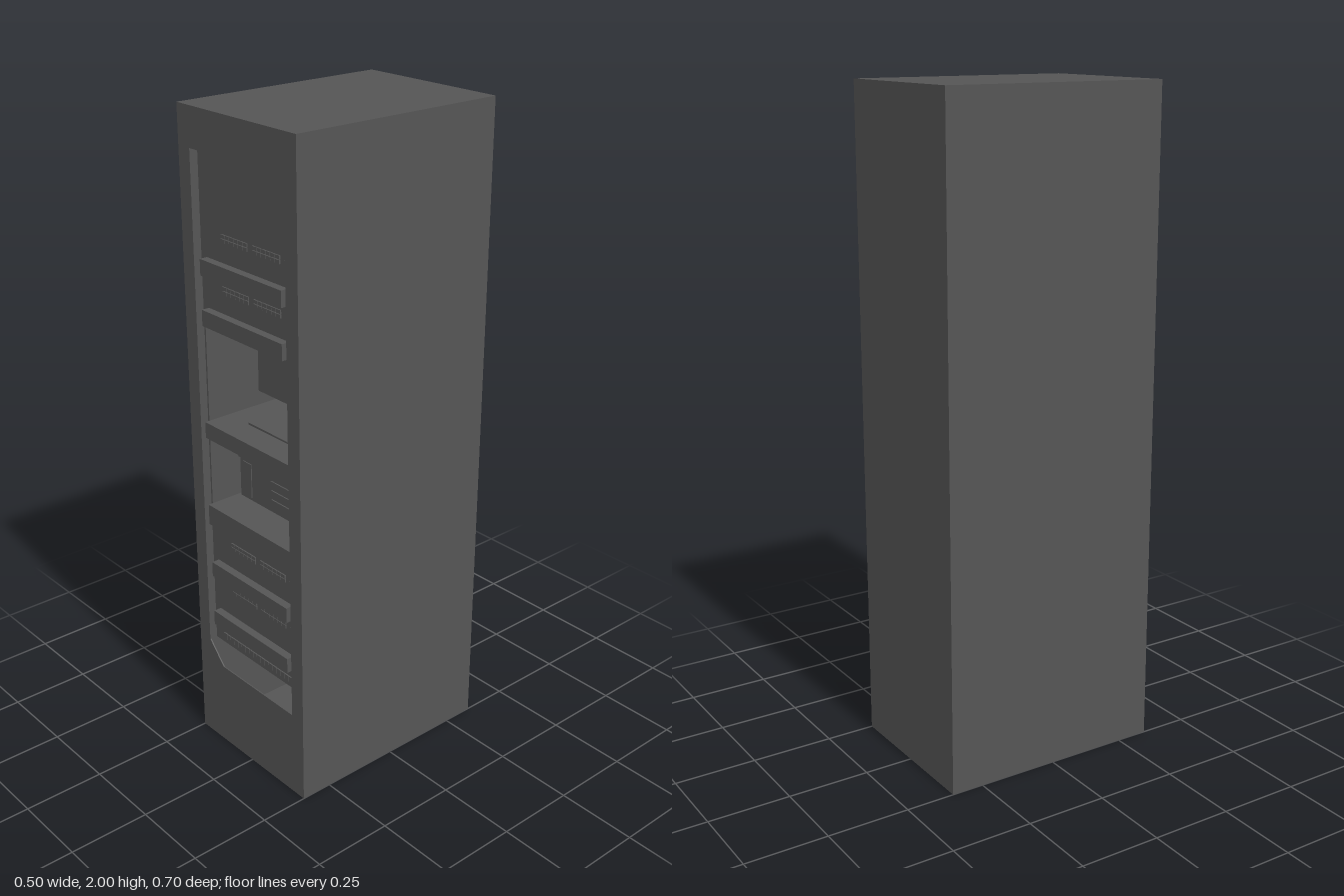
import * as THREE from 'three';

const material = new THREE.MeshStandardMaterial({ color: 0x555555 });

// Box given by its limits on each axis
function box(parent, name, x0, x1, y0, y1, z0, z1) {
  const mesh = new THREE.Mesh(new THREE.BoxGeometry(x1 - x0, y1 - y0, z1 - z0), material);
  mesh.position.set((x0 + x1) / 2, (y0 + y1) / 2, (z0 + z1) / 2);
  mesh.name = name;
  parent.add(mesh);
  return mesh;
}

function group(parent, name) {
  const g = new THREE.Group();
  g.name = name;
  parent.add(g);
  return g;
}

const W = 0.25, D = 0.35, H = 2, T = 0.004; // half width, half depth, height, sheet
const FACE = 0.32, BACK = -0.25;            // front and back of the rack units

function buildCabinet(root) {
  const cabinet = group(root, 'cabinet');
  box(cabinet, 'floorPanel', -W, W, 0, T, -D, D - T);
  box(cabinet, 'roofPanel', -W, W, H - T, H, -D, D - T);
  box(cabinet, 'backPanel', -W, W, T, H - T, -D, -D + T);
  for (const s of [-1, 1]) {
    const side = box(cabinet, s > 0 ? 'leftPanel' : 'rightPanel', W - T, W, T, H - T, -D + T, D - T);
    side.position.x *= s;
  }
  // Front sheet with an opening clipped at two corners
  const sheet = new THREE.Shape([[-W, 0], [W, 0], [W, H], [-W, H]].map(p => new THREE.Vector2(...p)));
  sheet.holes.push(new THREE.Path([
    [-0.2, 0.345], [-0.2, 1.885], [0.13, 1.885], [0.2, 1.82], [0.2, 0.275], [-0.135, 0.275],
  ].map(p => new THREE.Vector2(...p))));
  const front = new THREE.Mesh(
    new THREE.ExtrudeGeometry(sheet, { depth: T, bevelEnabled: false }), material);
  front.position.z = D - T;
  front.name = 'frontPanel';
  cabinet.add(front);
}

// Rows of small sockets standing on a unit face
function sockets(parent, x0, x1, y0, y1, cols, rows) {
  const w = (x1 - x0) / cols, h = (y1 - y0) / rows, gap = 0.001;
  for (let i = 0; i < cols; i++) for (let j = 0; j < rows; j++) {
    box(parent, 'socket', x0 + i * w + gap, x0 + (i + 1) * w - gap,
      y0 + j * h + gap, y0 + (j + 1) * h - gap, FACE, FACE + 0.004);
  }
}

// Network unit: face, two socket blocks, one small socket and a cable tray
function networkUnit(root, top, bottom, tray) {
  const unit = group(root, 'networkUnit');
  box(unit, 'unitBody', -0.2, 0.2, bottom, top, BACK, FACE);
  sockets(unit, -0.11, 0.007, top - 0.038, top - 0.013, 6, 2);
  sockets(unit, 0.028, 0.145, top - 0.038, top - 0.013, 6, 2);
  sockets(unit, 0.163, 0.195, top - 0.036, top - 0.022, 2, 1);
  if (tray) box(unit, 'cableTray', -0.18, 0.175, bottom + 0.005, bottom + 0.053, FACE, 0.345);
}

function buildMonitor(root) {
  const monitor = group(root, 'monitor');
  box(monitor, 'screen', -0.15, 0.155, 1.151, 1.358, 0.15, 0.175);
  box(monitor, 'stand', -0.012, 0.018, 1.085, 1.2, 0.125, 0.15);
  box(monitor, 'standBase', -0.105, 0.115, 1.08, 1.086, 0.06, 0.25);
}

function buildComputer(root) {
  const computer = group(root, 'computer');
  box(computer, 'computerCase', -0.19, 0.19, 0.81, 0.935, -0.15, 0.22);
  box(computer, 'computerLid', -0.2, 0.2, 0.935, 0.95, -0.15, 0.22);
  box(computer, 'computerTrim', -0.175, -0.135, 0.82, 0.93, 0.22, 0.223);
  for (let i = 0; i < 3; i++) {
    const y = 0.84 + i * 0.03;
    box(computer, 'driveBay', -0.04, 0.17, y, y + 0.012, 0.22, 0.224);
  }
}

export function createModel() {
  const root = new THREE.Group();
  root.name = 'serverCabinet';
  buildCabinet(root);

  // Side sheets of the inner rack
  for (const s of [-1, 1]) {
    const rail = box(root, 'rackSide', 0.2, 0.206, 0.34, 1.89, BACK, FACE);
    rail.position.x *= s;
  }
  // Blank units, from top to bottom
  for (const [top, bottom] of [[1.89, 1.83], [1.83, 1.677], [0.745, 0.727], [0.515, 0.46]]) {
    box(root, 'blankUnit', -0.2, 0.2, bottom, top, BACK, FACE);
  }
  networkUnit(root, 1.677, 1.528, true);
  networkUnit(root, 1.528, 1.38, true);
  networkUnit(root, 0.727, 0.573, true);
  networkUnit(root, 0.573, 0.515, false);

  // Monitor bay and computer bay on their shelves
  box(root, 'monitorShelf', -0.2, 0.2, 1.03, 1.08, BACK, 0.335);
  box(root, 'computerShelf', -0.2, 0.2, 0.745, 0.81, BACK, 0.335);
  box(root, 'bayBack', -0.2, 0.2, 0.81, 1.38, BACK, BACK + T);
  buildMonitor(root);
  buildComputer(root);

  // Lower tray and power strip
  box(root, 'trayUnit', -0.2, 0.2, 0.4, 0.46, BACK, FACE);
  box(root, 'lowerTray', -0.18, 0.175, 0.408, 0.455, FACE, 0.345);
  box(root, 'powerUnit', -0.2, 0.2, 0.34, 0.4, BACK, FACE);
  sockets(root, -0.165, 0.17, 0.355, 0.377, 18, 1);
  return root;
}
